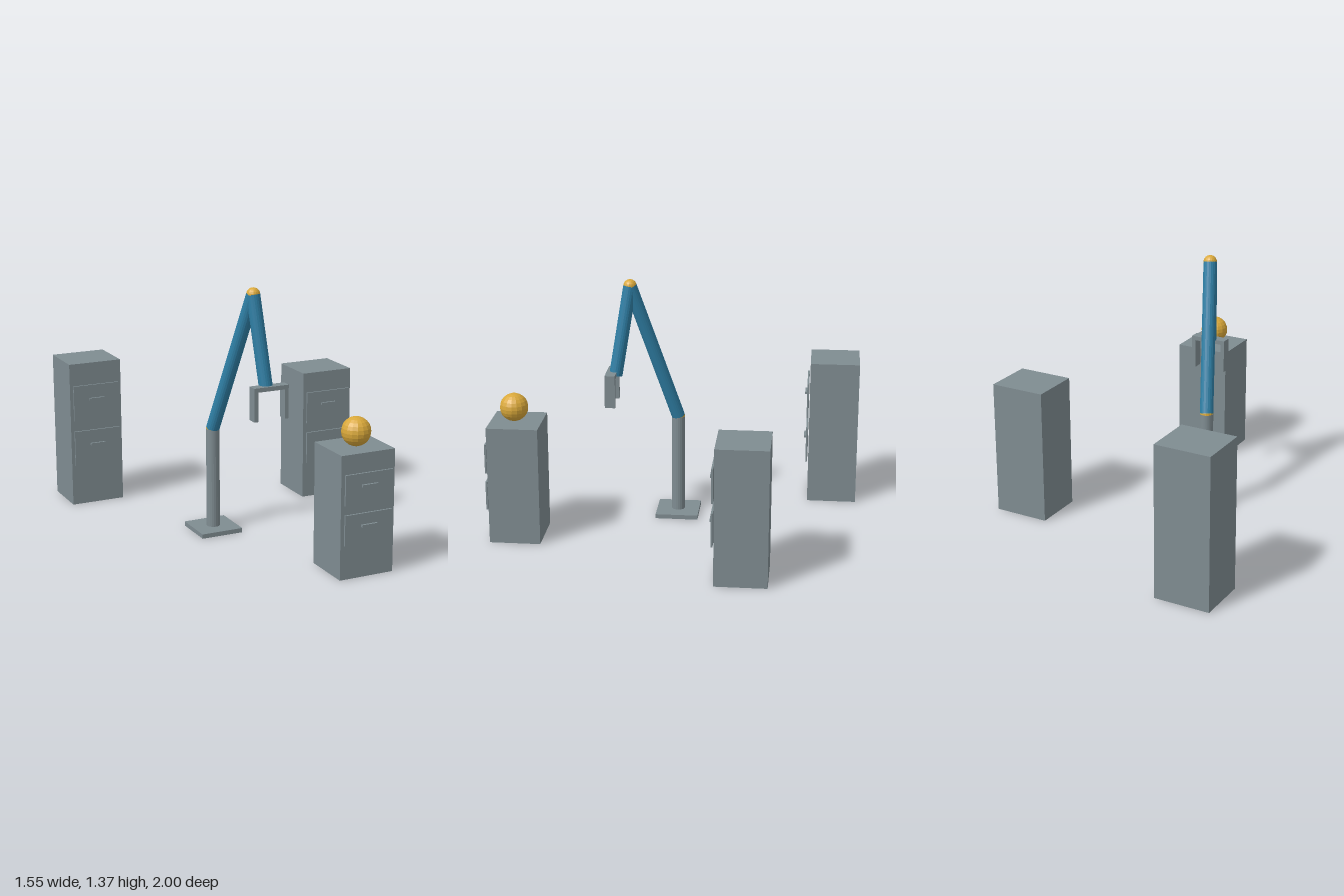
import * as THREE from 'three';

const steel = new THREE.MeshStandardMaterial({ name: 'steelGrey', color: 0x7f8c91, flatShading: true });
const blue = new THREE.MeshStandardMaterial({ name: 'armBlue', color: 0x2f7fa5, flatShading: true });
const gold = new THREE.MeshStandardMaterial({ name: 'gold', color: 0xd9a83a, flatShading: true });

function add(parent, name, geometry, material, x, y, z) {
  const mesh = new THREE.Mesh(geometry, material);
  mesh.name = name;
  mesh.position.set(x, y, z);
  parent.add(mesh);
  return mesh;
}

const box = (w, h, d) => new THREE.BoxGeometry(w, h, d);
const ball = (r) => new THREE.SphereGeometry(r, 16, 12);

// Cylinder running between two points
function rod(parent, name, from, to, radius, material) {
  const dir = to.clone().sub(from);
  const mid = from.clone().add(to).multiplyScalar(0.5);
  const mesh = add(parent, name, new THREE.CylinderGeometry(radius, radius, dir.length(), 20), material, mid.x, mid.y, mid.z);
  mesh.quaternion.setFromUnitVectors(new THREE.Vector3(0, 1, 0), dir.normalize());
}

// Cabinet with two drawer fronts and handles, proportioned to its height
function cabinet(name, x, z, height) {
  const group = new THREE.Group();
  group.name = name;
  group.position.set(x, 0, z);
  const depth = 0.276, front = depth / 2;
  add(group, 'cabinetBody', box(0.304, height, depth), steel, 0, height / 2, 0);
  for (const level of [0.404, 0.725]) {
    add(group, 'drawerFront', box(0.27, height * 0.246, 0.01), steel, 0, height * level, front + 0.011);
    add(group, 'drawerHandle', box(0.088, 0.013, 0.012), steel, 0, height * (level + 0.024), front + 0.022);
  }
  return group;
}

// Jointed arm on a post, with a two-finger gripper
function robotArm() {
  const group = new THREE.Group();
  group.name = 'robotArm';
  const foot = new THREE.Vector3(-0.229, 0.024, 0);
  const shoulder = new THREE.Vector3(-0.229, 0.572, 0);
  const elbow = new THREE.Vector3(-0.111, 1.336, 0.251);
  const wrist = new THREE.Vector3(-0.074, 0.847, 0.328);
  const r = 0.0365;

  add(group, 'basePlate', box(0.236, 0.024, 0.236), steel, foot.x, 0.012, 0);
  rod(group, 'post', foot, shoulder, r, steel);
  rod(group, 'upperArm', shoulder, elbow, r, blue);
  rod(group, 'forearm', elbow, wrist, r, blue);
  add(group, 'shoulderJoint', ball(r), gold, ...shoulder);
  add(group, 'elbowJoint', ball(r), gold, ...elbow);

  const gripper = new THREE.Group();
  gripper.name = 'gripper';
  gripper.position.set(-0.066, 0, 0.348);
  add(gripper, 'gripperBar', box(0.198, 0.023, 0.056), steel, 0, 0.8585, 0);
  for (const side of [-1, 1]) {
    add(gripper, 'gripperFinger', box(0.022, 0.157, 0.056), steel, side * 0.088, 0.7685, 0);
  }
  group.add(gripper);
  return group;
}

export function createModel() {
  const model = new THREE.Group();
  model.name = 'robotArmAndCabinets';
  model.add(robotArm());
  model.add(cabinet('tallCabinet', -0.623, -0.862, 0.822));
  model.add(cabinet('middleCabinet', 0.619, -0.41, 0.736));
  model.add(cabinet('frontCabinet', 0.167, 0.834, 0.649));
  // Ball resting on the front cabinet
  add(model, 'ball', ball(0.076), gold, 0.167, 0.725, 0.846);
  return model;
}
